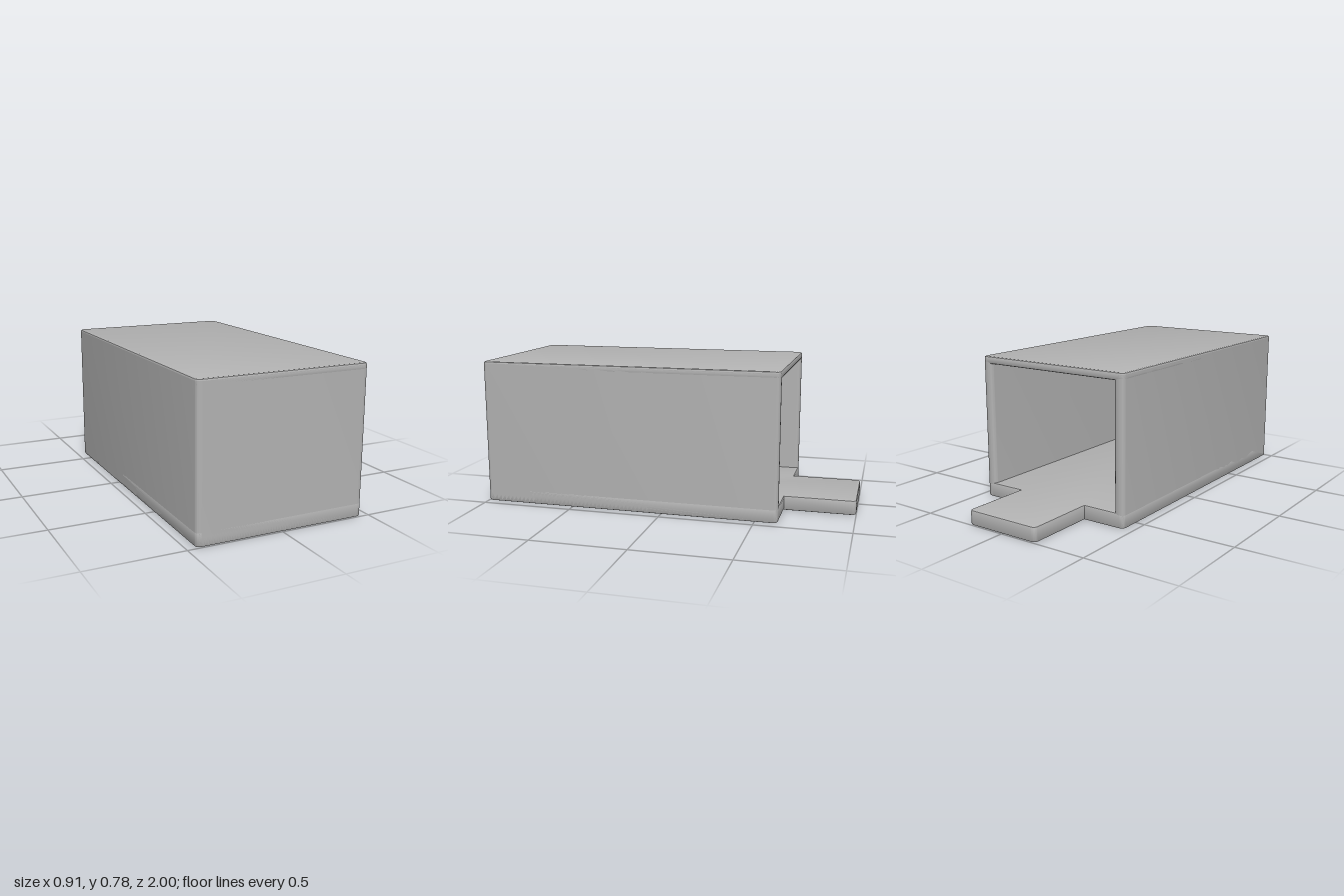
import * as THREE from 'three';
import { toCreasedNormals } from 'three/addons/utils/BufferGeometryUtils.js';

const HALF = 0.455, BACK = -0.62, FRONT = 1, HEIGHT = 0.78;
const TONGUE = 0.215, FLOOR = 0.08, ROOF = 0.04, WALL = 0.06;
const RADIUS = 0.028, BEVEL = 0.01;

// Plan outline from [x, z, cornerRadius] points, listed counter-clockwise from above
function plan(points) {
  const shape = new THREE.Shape();
  const n = points.length;
  points.forEach(([x, z, r], i) => {
    const p = new THREE.Vector2(x, -z);
    const toward = ([qx, qz]) =>
      p.clone().add(new THREE.Vector2(qx - x, z - qz).normalize().multiplyScalar(r));
    const a = toward(points[(i + n - 1) % n]);
    const b = toward(points[(i + 1) % n]);
    if (i === 0) shape.moveTo(a.x, a.y);
    else shape.lineTo(a.x, a.y);
    if (r > 0) shape.quadraticCurveTo(p.x, p.y, b.x, b.y);
  });
  shape.closePath();
  return shape;
}

// Raise a plan outline from y0 to y1, with optional chamfered rims
function slab(name, points, y0, y1, bevel, material) {
  const geometry = new THREE.ExtrudeGeometry(plan(points), {
    depth: y1 - y0 - 2 * bevel,
    bevelEnabled: bevel > 0,
    bevelThickness: bevel,
    bevelSize: bevel,
    bevelOffset: -bevel,
    bevelSegments: 2,
    curveSegments: 8,
  });
  geometry.rotateX(-Math.PI / 2);
  geometry.translate(0, y0 + bevel, 0);
  const mesh = new THREE.Mesh(toCreasedNormals(geometry, 0.5), material);
  mesh.name = name;
  return mesh;
}

export function createModel() {
  const group = new THREE.Group();
  group.name = 'openBackedBox';
  const grey = new THREE.MeshStandardMaterial({ color: 0xb3b3b3 });
  grey.name = 'plain grey';
  const R = RADIUS, inner = HALF - WALL;

  // Floor with the tongue sticking out at the back
  group.add(slab('floorWithTongue', [
    [-HALF, FRONT, R], [HALF, FRONT, R], [HALF, BACK, R], [TONGUE, BACK, 0],
    [TONGUE, -1, R], [-TONGUE, -1, R], [-TONGUE, BACK, 0], [-HALF, BACK, R],
  ], 0, FLOOR, BEVEL, grey));

  // Two side walls and the front wall in one piece, open at the back
  group.add(slab('walls', [
    [-HALF, FRONT, R], [HALF, FRONT, R], [HALF, BACK, R], [inner, BACK, R],
    [inner, FRONT - WALL, 0], [-inner, FRONT - WALL, 0], [-inner, BACK, R], [-HALF, BACK, R],
  ], BEVEL, HEIGHT - BEVEL, 0, grey));

  // Roof
  group.add(slab('roof', [
    [-HALF, FRONT, R], [HALF, FRONT, R], [HALF, BACK, R], [-HALF, BACK, R],
  ], HEIGHT - ROOF, HEIGHT, BEVEL, grey));

  return group;
}
